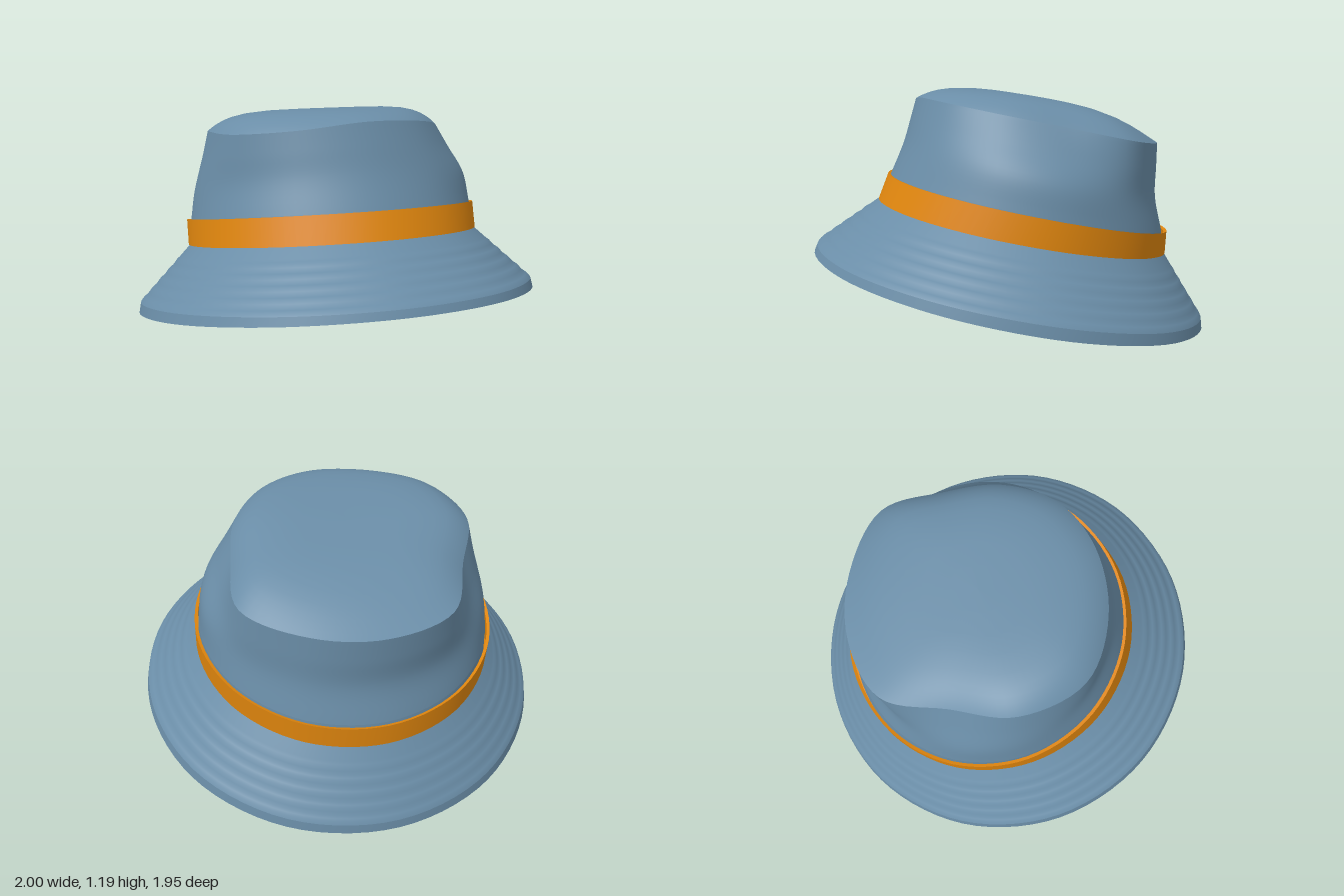
import * as THREE from 'three';

const COLUMNS = 84;

// Closed ring, starting at the front and running towards +x
function smoothRing(points) {
  const curve = new THREE.CatmullRomCurve3(points, true);
  return Array.from({ length: COLUMNS }, (_, i) => curve.getPoint(i / COLUMNS));
}

// Tilted oval from its front [z, y], back [z, y] and side [x, y]
function ovalRing([fz, fy], [bz, by], [sx, sy]) {
  const points = [];
  for (let i = 0; i < 12; i++) {
    const a = i * Math.PI / 6, c = Math.cos(a), s = Math.sin(a);
    const y = (fy + by) / 2 + c * (fy - by) / 2 + s * s * (sy - (fy + by) / 2);
    points.push(new THREE.Vector3(sx * s, y, (fz + bz) / 2 + c * (fz - bz) / 2));
  }
  return smoothRing(points);
}

const mixRings = (a, b, t) => a.map((p, i) => p.clone().lerp(b[i], t));

// Smooth rows passing through a stack of rings
function splineRows(rings, count) {
  const curves = rings[0].map((_, j) => new THREE.CatmullRomCurve3(rings.map(r => r[j])));
  return Array.from({ length: count + 1 }, (_, i) => curves.map(c => c.getPoint(i / count)));
}

// Surface through rows of points, closed around
function loft(name, rows, material) {
  const index = [];
  for (let i = 0; i < rows.length - 1; i++) {
    for (let j = 0; j < COLUMNS; j++) {
      const k = (j + 1) % COLUMNS;
      const a = i * COLUMNS + j, b = i * COLUMNS + k;
      index.push(a, b, b + COLUMNS, a, b + COLUMNS, a + COLUMNS);
    }
  }
  const geometry = new THREE.BufferGeometry().setFromPoints(rows.flat());
  geometry.setIndex(index);
  geometry.computeVertexNormals();
  const mesh = new THREE.Mesh(geometry, material);
  mesh.name = name;
  return mesh;
}

export function createModel() {
  const hat = new THREE.Group();
  hat.name = 'bucketHat';
  const cloth = new THREE.MeshStandardMaterial({ name: 'blueCloth', color: 0x6a8da7, side: THREE.DoubleSide });
  const ribbon = new THREE.MeshStandardMaterial({ name: 'orangeRibbon', color: 0xe0860e, side: THREE.DoubleSide });

  // Sloping brim with a narrow hem and faint stitched ridges
  const hem = ovalRing([0.975, 0.4], [-0.975, 0], [1, 0.2]);
  const hemTop = ovalRing([0.96, 0.435], [-0.97, 0.045], [0.99, 0.25]);
  const brimTop = ovalRing([0.642, 0.65], [-0.782, 0.365], [0.722, 0.51]);
  const brimRows = [];
  for (let i = 0; i <= 24; i++) {
    const ripple = 0.003 * Math.sin(i * Math.PI / 2) * (i < 18 ? 1 : 0);
    brimRows.push(mixRings(hemTop, brimTop, i / 24).map(p => p.setY(p.y + ripple)));
  }
  hat.add(loft('brimHem', [hem, hemTop], cloth), loft('brim', brimRows, cloth));

  // Soft, dented edge of the crown: x, y, z
  const rim = smoothRing([
    [0, 1.145, 0.45], [0.28, 1.13, 0.365], [0.47, 1.085, 0.15], [0.545, 1.03, -0.12],
    [0.575, 0.965, -0.43], [0.32, 0.925, -0.66], [0, 0.915, -0.75], [-0.32, 0.94, -0.68],
    [-0.48, 1.0, -0.4], [-0.62, 1.06, -0.12], [-0.57, 1.08, 0.21], [-0.32, 1.11, 0.4],
  ].map(p => new THREE.Vector3(...p)));

  // Crown wall
  const crownBase = ovalRing([0.59, 0.77], [-0.77, 0.47], [0.715, 0.63]);
  const crownLow = ovalRing([0.525, 0.92], [-0.73, 0.65], [0.69, 0.78]);
  const crownHigh = mixRings(crownLow, rim, 0.55);
  hat.add(loft('crownLining', [brimTop, crownBase], cloth));
  hat.add(loft('crownWall', splineRows([crownBase, crownLow, crownHigh, rim], 18), cloth));

  // Gently domed top, sinking towards the back
  const center = new THREE.Vector3(-0.03, 0, -0.12);
  const topRows = [1, 0.98, 0.95, 0.91, 0.86, 0.8, 0.7, 0.55, 0.4, 0.2, 0].map(s => rim.map(p => {
    const x = center.x + (p.x - center.x) * s;
    const z = center.z + (p.z - center.z) * s;
    const dome = 1.165 + 0.14 * z - 0.17 * z * z;
    return new THREE.Vector3(x, p.y + (dome - p.y) * (1 - s ** 6), z);
  }));
  hat.add(loft('crownTop', topRows, cloth));

  // Ribbon band with a thin folded edge
  const outerLow = ovalRing([0.655, 0.645], [-0.793, 0.36], [0.735, 0.505]);
  const outerHigh = ovalRing([0.605, 0.77], [-0.797, 0.47], [0.735, 0.63]);
  const innerHigh = ovalRing([0.588, 0.765], [-0.782, 0.466], [0.72, 0.626]);
  const band = new THREE.Group();
  band.name = 'ribbonBand';
  band.add(loft('bandFace', [outerLow, outerHigh], ribbon));
  band.add(loft('bandTopEdge', [outerHigh, innerHigh], ribbon));
  band.add(loft('bandBottomEdge', [brimTop, outerLow], ribbon));
  hat.add(band);
  return hat;
}
